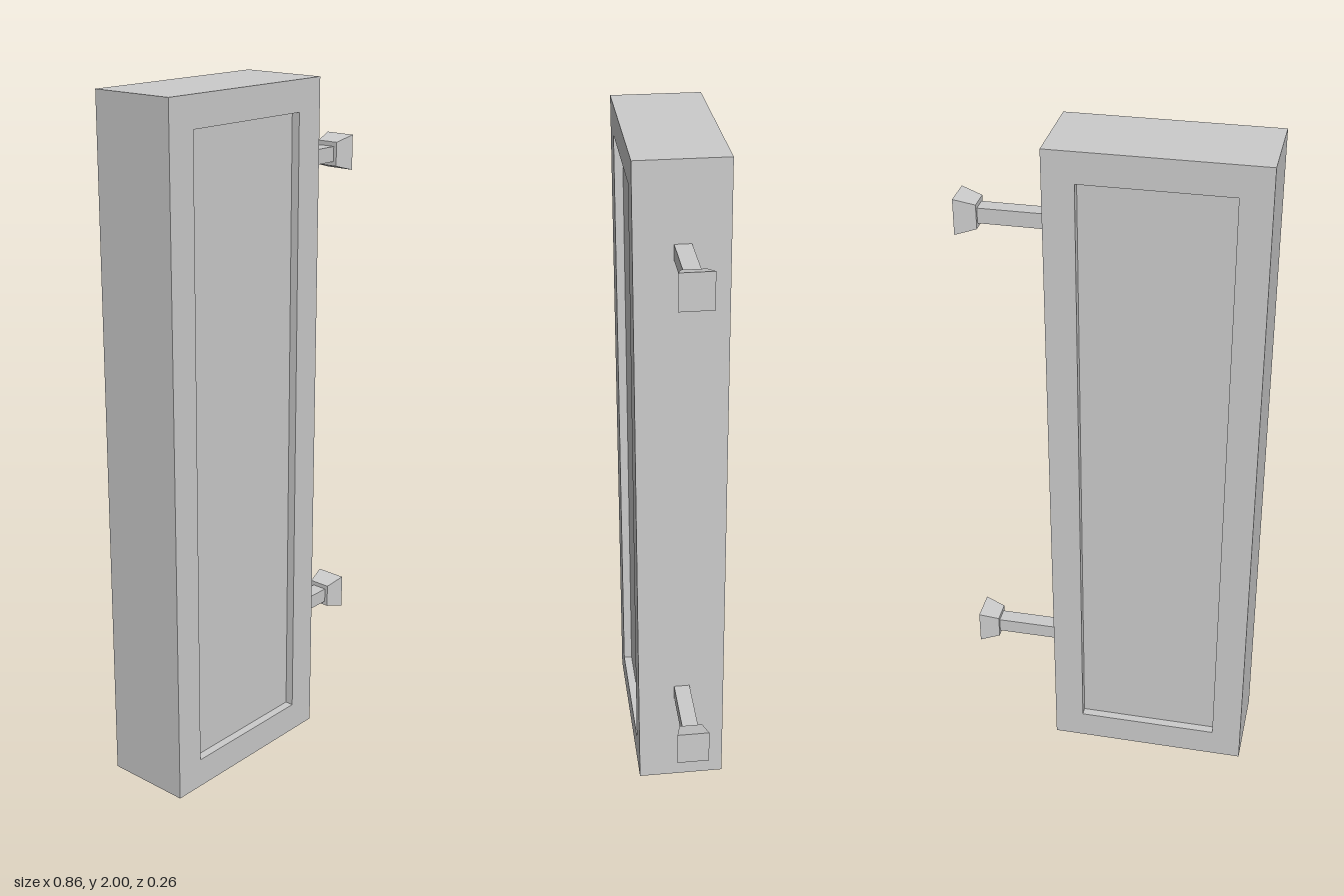
import * as THREE from 'three';

const LEFT = -0.43, RIGHT = 0.165, HEIGHT = 2, DEPTH = 0.26;
const RIM = 0.088, RECESS = 0.025;

export function createModel() {
  const group = new THREE.Group();
  const material = new THREE.MeshStandardMaterial({ color: 0xcccccc, flatShading: true });

  const add = (name, geometry, x, y, z) => {
    const mesh = new THREE.Mesh(geometry, material);
    mesh.name = name;
    mesh.position.set(x, y, z);
    group.add(mesh);
    return mesh;
  };

  // Mitred frame: each rail is a trapezoid between outer and inner corners
  const outer = [[LEFT, 0], [RIGHT, 0], [RIGHT, HEIGHT], [LEFT, HEIGHT]];
  const inner = [
    [LEFT + RIM, RIM], [RIGHT - RIM, RIM],
    [RIGHT - RIM, HEIGHT - RIM], [LEFT + RIM, HEIGHT - RIM],
  ];
  ['bottomRail', 'leftRail', 'topRail', 'rightRail'].forEach((name, i) => {
    const j = (i + 1) % 4;
    const corners = [outer[i], outer[j], inner[j], inner[i]];
    const shape = new THREE.Shape(corners.map(([x, y]) => new THREE.Vector2(x, y)));
    const rail = new THREE.ExtrudeGeometry(shape, { depth: DEPTH, bevelEnabled: false });
    add(name, rail, 0, 0, -DEPTH / 2);
  });

  // Panel recessed on both faces
  add('panel',
    new THREE.BoxGeometry(RIGHT - LEFT - 2 * RIM, HEIGHT - 2 * RIM, DEPTH - 2 * RECESS),
    (LEFT + RIGHT) / 2, HEIGHT / 2, 0);

  // Side brackets: square bar ending in a flared wall foot
  const armEnd = 0.37, footEnd = 0.43, z = -0.002;
  for (const [prefix, y] of [['upper', 1.752], ['lower', 0.323]]) {
    add(prefix + 'Arm', new THREE.BoxGeometry(armEnd - RIGHT, 0.044, 0.047),
      (RIGHT + armEnd) / 2, y, z);

    const foot = new THREE.BoxGeometry(footEnd - armEnd, 0.103, 0.093);
    const p = foot.attributes.position;
    for (let i = 0; i < p.count; i++) {
      if (p.getX(i) < 0) p.setXYZ(i, p.getX(i), p.getY(i) * 0.68, p.getZ(i) * 0.72);
    }
    foot.computeVertexNormals();
    add(prefix + 'Foot', foot, (armEnd + footEnd) / 2, y, z);
  }

  return group;
}
